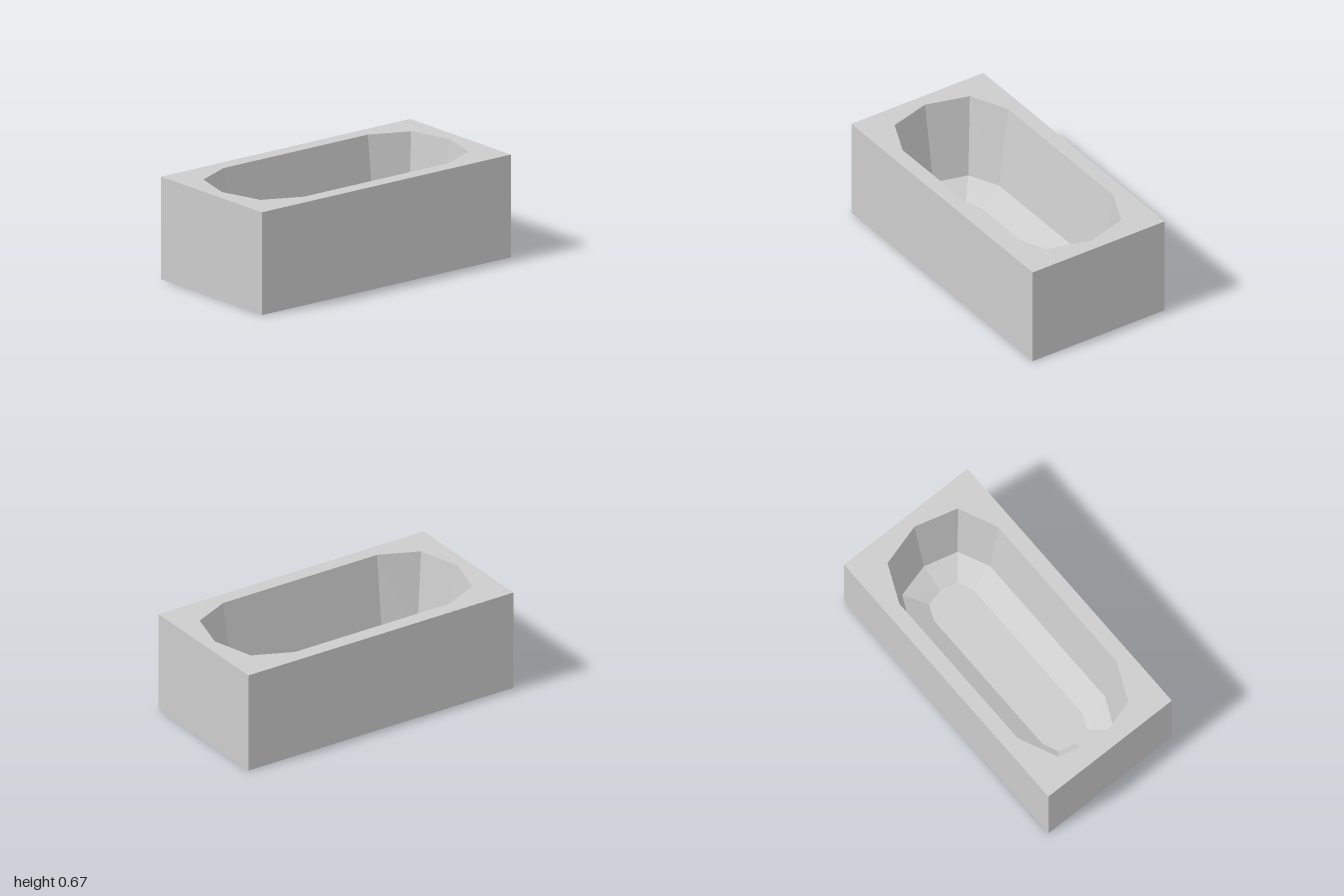
import * as THREE from 'three';

const W = 1, H = 0.67, L = 2;

// Ten-sided basin outline, counterclockwise from above; side, corner and end are [x, length]
function outline(side, corner, end) {
  const half = [[0, -end], [corner[0], -corner[1]], [side[0], -side[1]],
    [side[0], side[1]], corner, [0, end]];
  const mirrored = half.slice(1, -1).reverse().map(([x, y]) => [-x, y]);
  return [...half, ...mirrored].map(([x, y]) => new THREE.Vector2(x, y));
}

// Inward-facing wall between an upper and a lower outline
function basinWall(upper, yUpper, lower, yLower) {
  const pos = [];
  const put = (p, y) => pos.push(p.x, y, -p.y);
  const n = upper.length;
  for (let i = 0; i < n; i++) {
    const j = (i + 1) % n;
    put(upper[i], yUpper); put(upper[j], yUpper); put(lower[i], yLower);
    put(upper[j], yUpper); put(lower[j], yLower); put(lower[i], yLower);
  }
  const geo = new THREE.BufferGeometry();
  geo.setAttribute('position', new THREE.Float32BufferAttribute(pos, 3));
  geo.computeVertexNormals();
  return geo;
}

// Flat upward-facing sheet at a given height
function sheet(shape, y) {
  return new THREE.ShapeGeometry(shape).rotateX(-Math.PI / 2).translate(0, y, 0);
}

export function createModel() {
  const group = new THREE.Group();
  group.name = 'bathtub';
  const enamel = new THREE.MeshStandardMaterial({ color: 0xcccccc, flatShading: true });
  enamel.name = 'greyEnamel';
  const add = (name, geo) => {
    const mesh = new THREE.Mesh(geo, enamel);
    mesh.name = name;
    group.add(mesh);
  };

  const rimLine = outline([0.4, 0.58], [0.285, 0.835], 0.915);
  const bendLine = outline([0.32, 0.565], [0.225, 0.765], 0.825);
  const floorLine = outline([0.16, 0.53], [0.115, 0.635], 0.66);
  const bendY = 0.133, floorY = 0.045;

  // Outer casing: a box without its top face
  const casing = new THREE.BoxGeometry(W, H, L).translate(0, H / 2, 0);
  const index = Array.from(casing.index.array);
  index.splice(12, 6);
  casing.setIndex(index);
  casing.clearGroups();
  add('casing', casing);

  // Flat rim around the opening
  const rim = new THREE.Shape([[-W, -L], [W, -L], [W, L], [-W, L]]
    .map(([x, y]) => new THREE.Vector2(x / 2, y / 2)));
  rim.holes.push(new THREE.Path(rimLine));
  add('rim', sheet(rim, H));

  // Steep walls, shallow bend and flat floor of the basin
  add('basinWall', basinWall(rimLine, H, bendLine, bendY));
  add('basinBend', basinWall(bendLine, bendY, floorLine, floorY));
  add('basinFloor', sheet(new THREE.Shape(floorLine), floorY));

  return group;
}
